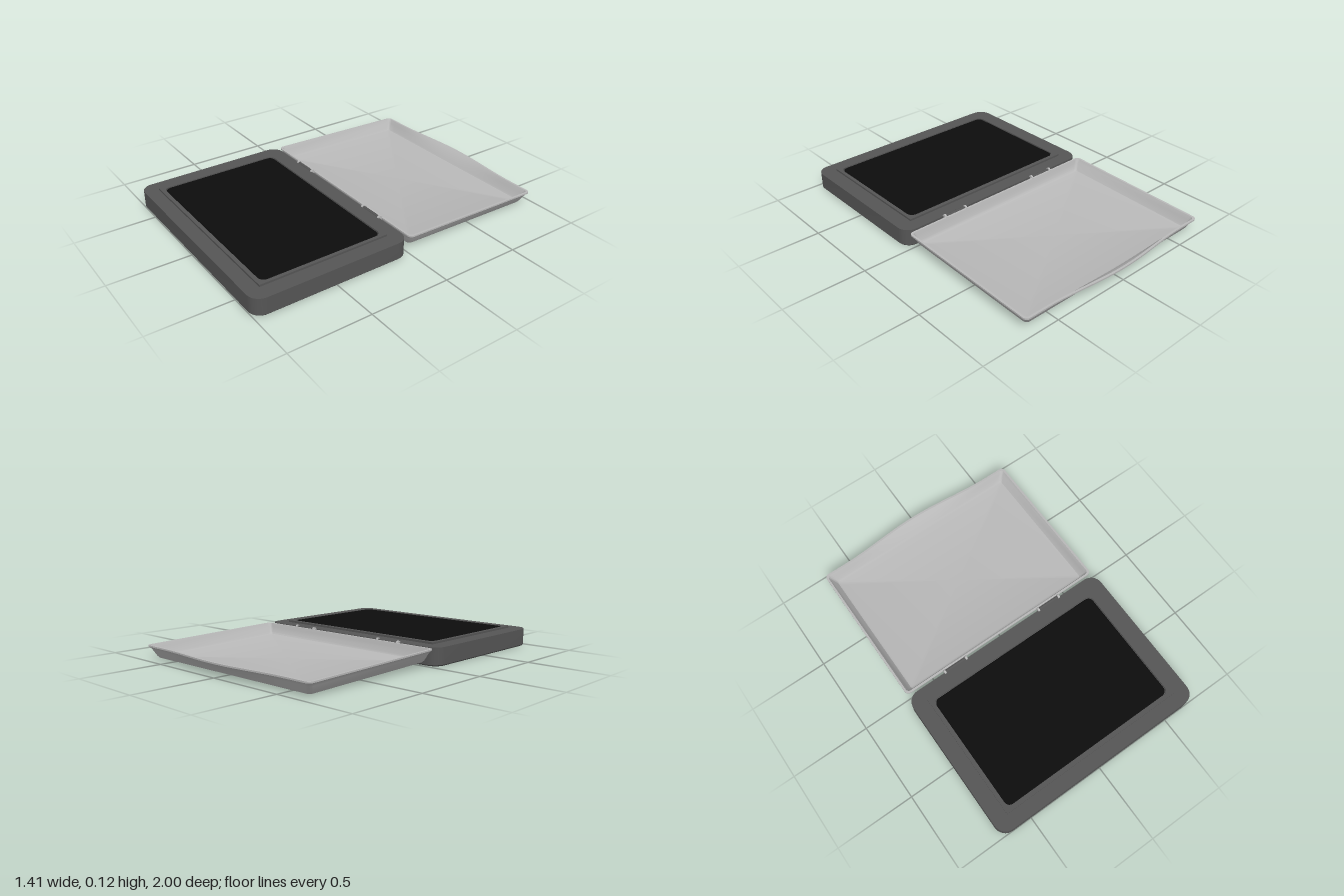
import * as THREE from 'three';
import { toCreasedNormals } from 'three/addons/utils/BufferGeometryUtils.js';

const mat = (name, color) => Object.assign(new THREE.MeshStandardMaterial({ color }), { name });

// Rounded rectangle outline, counter-clockwise from above; its back edge may bow outward.
function outline({ hx, z0, z1, r, y, bow = 0 }, tilt) {
  const pts = [];
  const mid = (z0 + z1) / 2;
  const add = (x, z) => {
    const bell = Math.abs(x) < 0.55 ? 0.5 + 0.5 * Math.cos(Math.PI * x / 0.55) : 0;
    const zz = z - bow * bell * Math.max(0, (mid - z) / (mid - z0));
    pts.push(new THREE.Vector3(x, y + tilt * zz, zz));
  };
  const corners = [[hx - r, z0 + r], [r - hx, z0 + r], [r - hx, z1 - r], [hx - r, z1 - r]];
  corners.forEach(([cx, cz], k) => {
    for (let i = 0; i <= 8; i++) {
      const a = (k + i / 8) * Math.PI / 2;
      add(cx + r * Math.cos(a), cz - r * Math.sin(a));
    }
    if (k === 0) for (let i = 1; i < 32; i++) add((hx - r) * (1 - i / 16), z0);
  });
  return pts;
}

// Closed skin through a list of outlines, capped at both ends.
function loft(sections, tilt = 0, crease = 0.5) {
  const rings = sections.map((s) => outline(s, tilt));
  const n = rings[0].length;
  const pos = [];
  const tri = (...v) => v.forEach((p) => pos.push(p.x, p.y, p.z));
  const center = (s) => {
    const z = (s.z0 + s.z1) / 2;
    return new THREE.Vector3(0, s.y + tilt * z, z);
  };
  const first = center(sections[0]);
  const last = center(sections[sections.length - 1]);
  const end = rings[rings.length - 1];
  for (let i = 0; i < n; i++) {
    const j = (i + 1) % n;
    tri(first, rings[0][j], rings[0][i]);
    tri(last, end[i], end[j]);
    for (let k = 0; k + 1 < rings.length; k++) {
      const a = rings[k], b = rings[k + 1];
      tri(a[i], a[j], b[j]);
      tri(a[i], b[j], b[i]);
    }
  }
  const g = new THREE.BufferGeometry();
  g.setAttribute('position', new THREE.Float32BufferAttribute(pos, 3));
  return toCreasedNormals(g, crease);
}

export function createModel() {
  const model = new THREE.Group();
  model.name = 'inkPad';
  const dark = mat('darkGreyPlastic', 0x555555);
  const light = mat('lightGreyPlastic', 0xb8b8b8);
  const black = mat('blackInk', 0x0c0c0c);

  const part = (name, geometry, material, parent = model) => {
    const m = new THREE.Mesh(geometry, material);
    m.name = name;
    parent.add(m);
    return m;
  };

  // Base tray with a small chamfer underneath
  part('base', loft([
    { hx: 0.697, z0: 0.023, z1: 0.992, r: 0.067, y: 0 },
    { hx: 0.705, z0: 0.015, z1: 1, r: 0.075, y: 0.008 },
    { hx: 0.705, z0: 0.015, z1: 1, r: 0.075, y: 0.11 },
  ]), dark);

  // Raised square frame with a rounded opening
  const frame = new THREE.Shape();
  frame.moveTo(-0.61, -0.408).lineTo(0.61, -0.408).lineTo(0.61, 0.408).lineTo(-0.61, 0.408);
  const hole = new THREE.Path();
  const w = 0.589, d = 0.384, r = 0.04;
  hole.absarc(w - r, d - r, r, 0, Math.PI / 2);
  hole.absarc(r - w, d - r, r, Math.PI / 2, Math.PI);
  hole.absarc(r - w, r - d, r, Math.PI, Math.PI * 1.5);
  hole.absarc(w - r, r - d, r, Math.PI * 1.5, Math.PI * 2);
  frame.holes.push(hole);
  const rim = part('padFrame',
    new THREE.ExtrudeGeometry(frame, { depth: 0.022, bevelEnabled: false, curveSegments: 8 }), dark);
  rim.rotation.x = -Math.PI / 2;
  rim.position.set(0, 0.1, 0.507);

  // Ink cushion
  part('inkCushion', loft([
    { hx: 0.584, z0: 0.128, z1: 0.886, r: 0.036, y: 0.1 },
    { hx: 0.584, z0: 0.128, z1: 0.886, r: 0.036, y: 0.117 },
    { hx: 0.578, z0: 0.134, z1: 0.88, r: 0.03, y: 0.121 },
  ]), black);

  // Open lid: outer shell up to the lip, then down the inside to the floor
  part('lid', loft([
    { hx: 0.632, z0: -0.905, z1: -0.045, r: 0.02, y: 0.029 },
    { hx: 0.648, z0: -0.921, z1: -0.028, r: 0.024, y: 0.034 },
    { hx: 0.658, z0: -0.93, z1: -0.02, r: 0.026, y: 0.046 },
    { hx: 0.676, z0: -0.948, z1: -0.01, r: 0.028, y: 0.08, bow: 0.01 },
    { hx: 0.686, z0: -0.958, z1: -0.004, r: 0.028, y: 0.096, bow: 0.025 },
    { hx: 0.693, z0: -0.966, z1: 0, r: 0.028, y: 0.101, bow: 0.034 },
    { hx: 0.693, z0: -0.966, z1: 0, r: 0.028, y: 0.11, bow: 0.034 },
    { hx: 0.68, z0: -0.953, z1: -0.012, r: 0.022, y: 0.11, bow: 0.034 },
    { hx: 0.668, z0: -0.94, z1: -0.018, r: 0.02, y: 0.088, bow: 0.012 },
    { hx: 0.65, z0: -0.924, z1: -0.028, r: 0.018, y: 0.052 },
    { hx: 0.643, z0: -0.916, z1: -0.036, r: 0.016, y: 0.043 },
    { hx: 0.63, z0: -0.903, z1: -0.048, r: 0.014, y: 0.039 },
  ], 0.026), light);

  // Two hinges: a dark barrel on the base, light ears on the lid
  for (const side of [-1, 1]) {
    const hinge = new THREE.Group();
    hinge.name = side > 0 ? 'leftHinge' : 'rightHinge';
    hinge.position.set(side * 0.35, 0.107, 0.01);
    model.add(hinge);
    const barrel = part('hingeBarrel', new THREE.CylinderGeometry(0.01, 0.01, 0.14, 16), dark, hinge);
    barrel.rotation.z = Math.PI / 2;
    for (const end of [-1, 1]) {
      const ear = part('hingeEar', new THREE.CylinderGeometry(0.014, 0.014, 0.012, 16), light, hinge);
      ear.rotation.z = Math.PI / 2;
      ear.position.x = end * 0.077;
      part('hingeArm', new THREE.BoxGeometry(0.012, 0.016, 0.022), light, hinge)
        .position.set(end * 0.077, -0.004, -0.01);
    }
  }
  return model;
}
